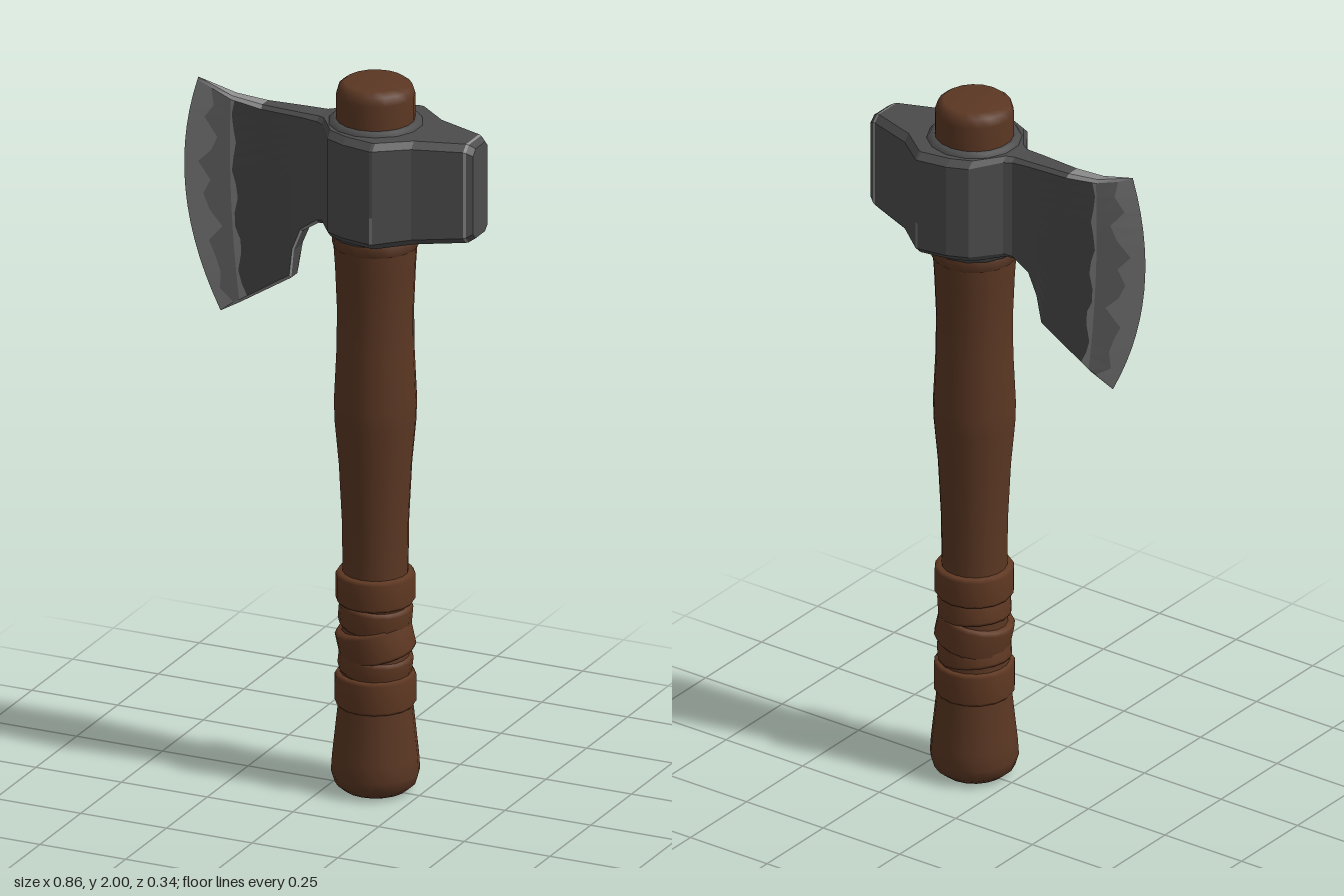
import * as THREE from 'three';

const paint = (name, color) => Object.assign(new THREE.MeshStandardMaterial({ color }), { name });

export function createModel() {
  const axe = new THREE.Group();
  axe.name = 'axe';
  const wood = paint('brown wood', 0x5b3723);
  const leather = paint('brown leather', 0x5f3822);
  const steel = {
    body: paint('dark steel', 0x4c4c4c),
    bevel: paint('ground steel', 0x747474),
    edge: paint('bright steel', 0x8e8e8e),
  };
  const cx = 0.122;

  const add = (name, geometry, material, y = 0, tilt = 0, lean = 0) => {
    const mesh = new THREE.Mesh(geometry, material);
    mesh.name = name;
    mesh.position.set(cx, y, 0);
    mesh.rotation.set(lean, 0, tilt);
    axe.add(mesh);
  };
  const lathe = (pts, sides) =>
    new THREE.LatheGeometry(pts.map(([r, y]) => new THREE.Vector2(r, y)), sides);

  // Handle: swollen foot, slim grip, belly and rounded tip
  add('handle', lathe([
    [0, 0], [0.085, 0.003], [0.108, 0.022], [0.118, 0.055], [0.115, 0.1], [0.1, 0.24],
    [0.09, 0.4], [0.087, 0.62], [0.089, 0.76], [0.097, 0.92], [0.108, 1.04], [0.11, 1.1],
    [0.103, 1.25], [0.102, 1.36], [0.107, 1.48], [0.114, 1.58], [0.108, 1.7], [0.105, 1.88],
    [0.105, 1.965], [0.098, 1.988], [0.082, 2], [0, 2],
  ], 18), wood);

  // Grip wrap: two straight bands with tilted turns between them
  const band = (name, y, h, r, tilt, lean) => add(name, lathe([
    [0.08, -h / 2], [r - 0.006, -h / 2], [r, -h / 2 + 0.009],
    [r, h / 2 - 0.009], [r - 0.006, h / 2], [0.08, h / 2],
  ], 16), leather, y, tilt, lean);
  band('upperBand', 0.575, 0.085, 0.106, 0, 0);
  band('lowerBand', 0.288, 0.092, 0.108, 0, 0);
  [[0.5, 0.07, 0.098, -0.12], [0.425, 0.085, 0.103, 0.2], [0.365, 0.06, 0.099, -0.15]]
    .forEach(([y, h, r, tilt], i) => band('wrapTurn' + (i + 1), y, h, r, tilt, 0.07));

  // Small collars where the handle passes through the head
  add('eyeCollar', lathe([
    [0.1, 1.572], [0.118, 1.572], [0.135, 1.6], [0.135, 1.875], [0.119, 1.897], [0.1, 1.897],
  ], 14), steel.body);
  add('handleShoulder', lathe([[0.1, 1.535], [0.114, 1.54], [0.117, 1.58], [0.1, 1.58]], 16), wood);

  // Head stations from cutting edge to poll:
  // bottom x, bottom y, top x, top y, half thickness, outward bow, chamfer
  const stations = [
    [-0.33, 1.275, -0.395, 1.925, 0, -0.07, 0.008],
    [-0.265, 1.315, -0.29, 1.893, 0.021, -0.012, 0.008],
    [-0.115, 1.41, -0.2, 1.885, 0.028, 0, 0.01],
    [-0.105, 1.49, -0.11, 1.885, 0.034, 0, 0.01],
    [-0.08, 1.55, -0.08, 1.885, 0.036, 0, 0.01],
    [-0.03, 1.583, -0.03, 1.885, 0.04, 0, 0.012],
    [-0.01, 1.588, -0.01, 1.887, 0.053, 0, 0.014],
    [0.045, 1.588, 0.045, 1.887, 0.132, 0, 0.018],
    [0.1, 1.588, 0.1, 1.887, 0.156, 0, 0.018],
    [0.184, 1.588, 0.184, 1.887, 0.17, 0, 0.018],
    [0.192, 1.588, 0.192, 1.887, 0.168, 0, 0.018],
    [0.275, 1.593, 0.275, 1.885, 0.103, 0, 0.018],
    [0.405, 1.603, 0.405, 1.882, 0.058, 0, 0.018],
    [0.412, 1.605, 0.412, 1.88, 0.056, 0, 0.018],
    [0.428, 1.616, 0.428, 1.869, 0.045, 0, 0.016],
  ];
  const rows = 16;
  const columns = stations.map(([bx, by, tx, ty, z, bow, c]) => {
    const side = [];
    for (let j = 0; j <= rows; j++) {
      const end = j === 0 || j === rows;
      const inset = c / (ty - by);
      const f = end ? j / rows : inset + (1 - 2 * inset) * (j - 1) / (rows - 2);
      side.push(new THREE.Vector3(bx + (tx - bx) * f + bow * 4 * f * (1 - f),
        by + (ty - by) * f, end ? z - Math.min(c, z * 0.5) : z));
    }
    return side;
  });
  // Ragged line between the bright edge and the duller bevel
  columns.splice(1, 0, columns[0].map((p, j) =>
    p.clone().lerp(columns[1][j], 0.5 + 0.17 * Math.sin(j * 2.3) + 0.1 * Math.sin(j * 1.1 + 1))));
  // Ragged line where the bevel meets the dark cheek
  columns.splice(3, 0, columns[2].map((p, j) =>
    p.clone().lerp(columns[3][j], 0.1 + 0.06 * Math.sin(j * 1.7))));

  const rings = columns.map((side) => [
    ...side, ...side.map((p) => new THREE.Vector3(p.x, p.y, -p.z)).reverse(),
  ]);
  const faces = { body: [], bevel: [], edge: [] };
  const triangle = (key, a, b, c) => {
    const area = b.clone().sub(a).cross(c.clone().sub(a)).length();
    if (area > 1e-9) for (const p of [a, b, c]) faces[key].push(p.x, p.y, p.z);
  };
  // Steel tone by strip along the head and row around it
  const tone = (i, j) => {
    const row = j > rows ? 2 * rows - j : j;
    const chamfer = j === rows || j > 2 * rows || row === 0 || row === rows - 1;
    if (i === 0) return 'edge';
    if (i === 1) return chamfer ? 'edge' : 'bevel';
    if (i === 2) return 'edge';
    if (i === 3) return chamfer ? 'edge' : 'body';
    if (i < 7 && row === 0) return 'edge';
    if (i === 11) return row > 0 && row < 5 ? 'bevel' : 'body';
    if (i === 14) return 'edge';
    return 'body';
  };
  const n = rings[0].length;
  for (let i = 0; i < rings.length - 1; i++) {
    for (let j = 0; j < n; j++) {
      const k = (j + 1) % n;
      const [a, b, c, d] = [rings[i][j], rings[i + 1][j], rings[i + 1][k], rings[i][k]];
      triangle(tone(i, j), a, b, c);
      triangle(tone(i, j), a, c, d);
    }
  }
  // Poll face
  const poll = rings[rings.length - 1];
  for (let j = 1; j < n - 1; j++) triangle('body', poll[0], poll[j + 1], poll[j]);

  const head = new THREE.Group();
  head.name = 'axeHead';
  const names = { body: 'headBody', bevel: 'bladeBevel', edge: 'cuttingEdge' };
  for (const key in faces) {
    const geometry = new THREE.BufferGeometry();
    geometry.setAttribute('position', new THREE.Float32BufferAttribute(faces[key], 3));
    geometry.computeVertexNormals();
    const mesh = new THREE.Mesh(geometry, steel[key]);
    mesh.name = names[key];
    head.add(mesh);
  }
  axe.add(head);
  return axe;
}
